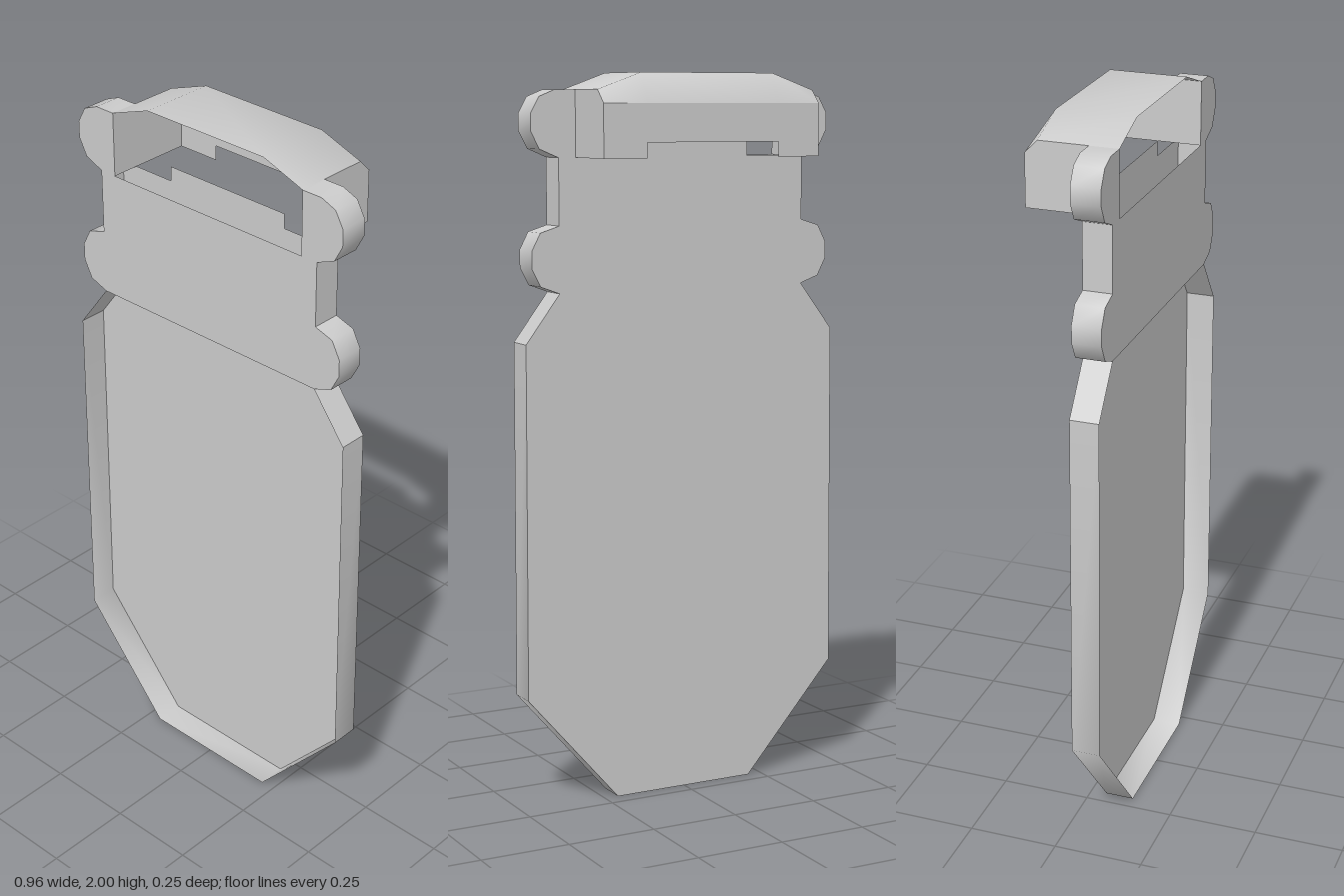
import * as THREE from 'three';

const FRONT = 0.125, PANEL = 0.045, BACK = -0.125;
const thin = new THREE.MeshStandardMaterial({ color: 0xcccccc, side: THREE.DoubleSide });

const mirror = (half) => half.map(([x, y]) => [-x, y]).reverse();

function addMesh(group, name, geometry) {
  const mesh = new THREE.Mesh(geometry, thin);
  mesh.name = name;
  group.add(mesh);
  return mesh;
}

// Flat sheet from its right half, listed bottom to top
function sheet(half, z) {
  const points = [...half, ...mirror(half)].map(([x, y]) => new THREE.Vector2(x, y));
  return new THREE.ShapeGeometry(new THREE.Shape(points)).translate(0, 0, z);
}

// Smooth surface through rows of points, all rows equally long
function skin(rows) {
  const n = rows[0].length, index = [];
  for (let r = 0; r < rows.length - 1; r++) {
    for (let c = 0; c < n - 1; c++) {
      const a = r * n + c, b = a + n;
      index.push(a, a + 1, b, a + 1, b + 1, b);
    }
  }
  const geo = new THREE.BufferGeometry();
  geo.setAttribute('position', new THREE.Float32BufferAttribute(rows.flat(2), 3));
  geo.setIndex(index);
  geo.computeVertexNormals();
  return geo;
}

// Edge wall following a path, between the back panel and the front rim
const rim = (path) => skin([PANEL, FRONT].map((z) => path.map(([x, y]) => [x, y, z])));

function createModel() {
  const group = new THREE.Group();

  const bladeHalf = [[0.21, 0], [0.48, 0.31], [0.475, 1.285]];
  const shoulder = [[0.475, 1.285], [0.375, 1.417]];
  const lowerLug = [[0.375, 1.417], [0.43, 1.437], [0.455, 1.485], [0.455, 1.533], [0.43, 1.58], [0.375, 1.597]];
  const waist = [[0.375, 1.597], [0.375, 1.777]];
  const upperLug = [[0.375, 1.777], [0.43, 1.8], [0.455, 1.847], [0.455, 1.893], [0.43, 1.937], [0.385, 1.955], [0.325, 1.955]];
  const slotCorner = [0.325, 1.777];
  const neckHalf = [...lowerLug, ...upperLug, slotCorner];

  // Back panel with a raised tab in the slot, and the shorter front panel of the neck
  addMesh(group, 'backPanel', sheet([...bladeHalf, ...neckHalf, [0.198, 1.777], [0.198, 1.818]], PANEL));
  addMesh(group, 'neckFrontPanel', sheet(neckHalf, FRONT));

  // Rim of the open-fronted blade
  addMesh(group, 'bladeRim', rim([...mirror(bladeHalf), ...bladeHalf]));

  // Edges of the shoulders, lugs and neck on both sides
  const edges = { shoulder, lowerLug, waist, upperLug };
  for (const [name, path] of Object.entries(edges)) {
    addMesh(group, name + 'EdgeLeft', rim(path));
    addMesh(group, name + 'EdgeRight', rim(mirror(path)));
  }

  // Rear wall of the loop, notched along its lower edge
  addMesh(group, 'loopRearWall', sheet([[0.198, 1.818], [0.198, 1.777], slotCorner, [0.325, 1.92]], BACK));

  // Side walls of the loop
  const side = new THREE.Shape([[-FRONT, 1.777], [-BACK, 1.777], [-BACK, 1.92], [0.09, 1.955], [-FRONT, 1.955]]
    .map(([z, y]) => new THREE.Vector2(z, y)));
  for (const s of [-1, 1]) {
    const wall = addMesh(group, s > 0 ? 'loopLeftWall' : 'loopRightWall', new THREE.ShapeGeometry(side).rotateY(Math.PI / 2));
    wall.position.x = s * 0.325;
  }

  // Roof of the loop: an arch swept back, then dropping to the rear wall
  const arch = [[-0.325, 1.955], [-0.198, 2], [0.198, 2], [0.325, 1.955]];
  addMesh(group, 'loopRoof', skin([
    arch.map(([x, y]) => [x, y, FRONT]),
    arch.map(([x, y]) => [x, y, -0.09]),
    arch.map(([x]) => [x, 1.92, BACK]),
  ].reverse().map((row) => row.reverse())));

  return group;
}

export { createModel };
